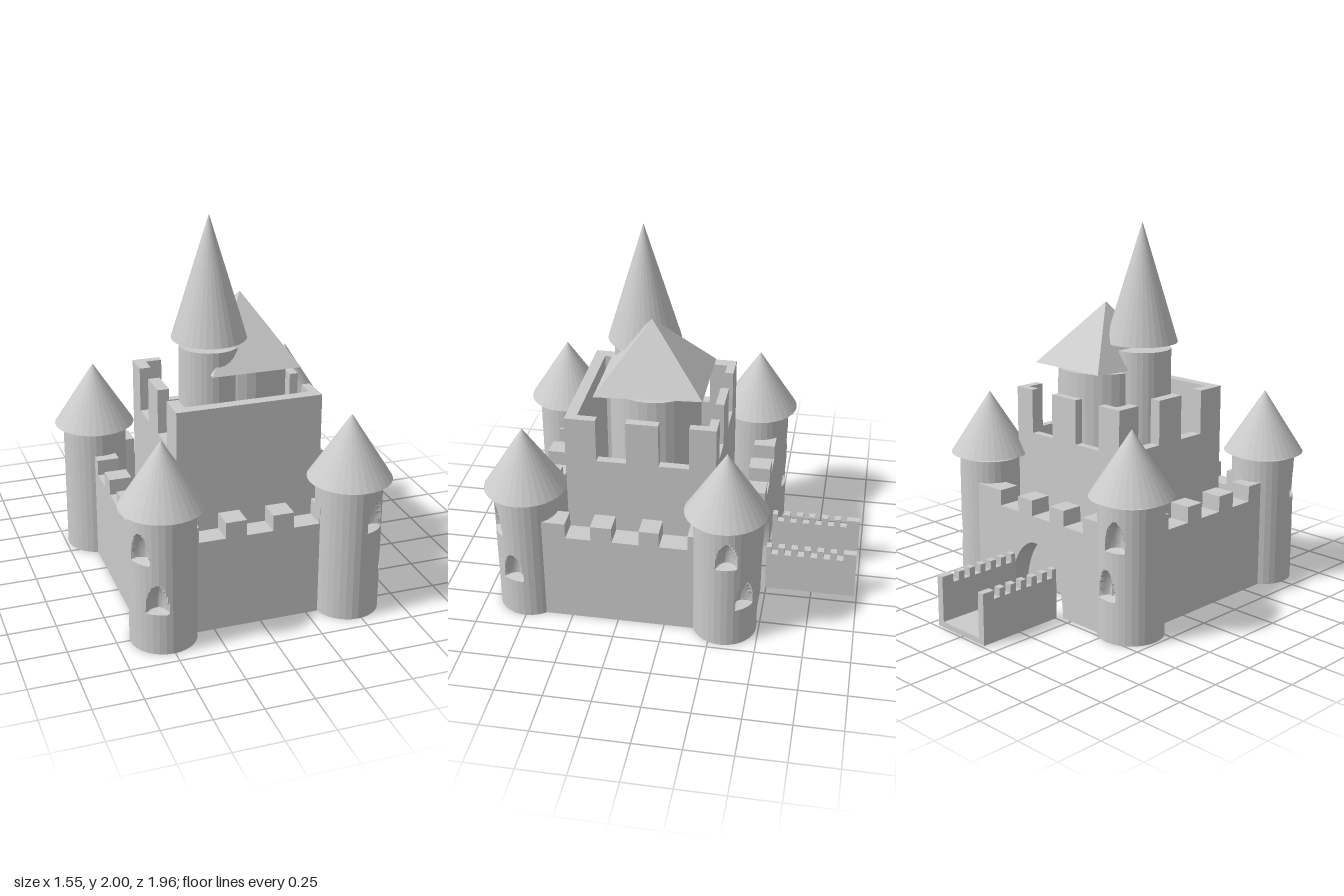
import * as THREE from 'three';

const stone = new THREE.MeshStandardMaterial({ color: 0xcccccc, flatShading: true, side: THREE.DoubleSide });
const SIDES = 32;

function add(group, name, geometry, x = 0, y = 0, z = 0) {
  const mesh = new THREE.Mesh(geometry, stone);
  mesh.name = name;
  mesh.position.set(x, y, z);
  group.add(mesh);
  return mesh;
}

// Upright wall from a to b with notches cut down to "low"; "arch" opens a gateway at the foot
function wallGeometry({ a, b, low, top, gaps = [], thick, arch, alongZ }) {
  const s = new THREE.Shape();
  s.moveTo(a, 0);
  s.lineTo(a, top);
  for (const [g0, g1] of gaps) {
    s.lineTo(g0, top);
    s.lineTo(g0, low);
    s.lineTo(g1, low);
    s.lineTo(g1, top);
  }
  s.lineTo(b, top);
  s.lineTo(b, 0);
  if (arch) {
    s.lineTo(arch.x + arch.rx, 0);
    s.absellipse(arch.x, 0, arch.rx, arch.ry, 0, Math.PI, false);
  }
  s.closePath();
  const g = new THREE.ExtrudeGeometry(s, { depth: thick, bevelEnabled: false, curveSegments: 24 });
  // after turning, the wall runs along z and its thickness goes towards -x
  return alongZ ? g.rotateY(-Math.PI / 2) : g;
}

// Round tower whose wall is pushed in to form arched window niches
function towerGeometry(r, h, windows) {
  const g = new THREE.CylinderGeometry(r, r, h, SIDES * 4, 71).translate(0, h / 2, 0);
  const p = g.attributes.position;
  const step = (2 * Math.PI) / SIDES;
  for (let i = 0; i < p.count; i++) {
    const x = p.getX(i), y = p.getY(i), z = p.getZ(i);
    if (Math.hypot(x, z) < r * 0.9) continue;
    const az = Math.atan2(x, z);
    // flat facets between the corner lines
    const local = az - (Math.floor(az / step + 1e-6) + 0.5) * step;
    let radius = (r * Math.cos(step / 2)) / Math.cos(local);
    for (const [deg, y0] of windows) {
      let d = az - THREE.MathUtils.degToRad(deg);
      d = Math.atan2(Math.sin(d), Math.cos(d));
      const t = (y - y0) / 0.15;
      const inside = 1 - (r * Math.sin(d) / 0.056) ** 2 - t * t;
      if (t > -0.01 && inside > 0 && Math.cos(d) > 0) radius -= 0.06 * Math.sqrt(inside);
    }
    p.setXYZ(i, radius * Math.sin(az), y, radius * Math.cos(az));
  }
  return g;
}

function cone(r, h) {
  return new THREE.ConeGeometry(r, h, SIDES).translate(0, h / 2, 0);
}

export function createModel() {
  const castle = new THREE.Group();
  castle.name = 'castle';

  // Corner towers: x, z, windows as [direction in degrees, sill height]
  const towers = [
    ['frontLeftTower', 0.48, 0.755, [[32, 0.485], [72, 0.225]]],
    ['frontRightTower', -0.51, 0.76, [[-58, 0.485], [-26, 0.225]]],
    ['backLeftTower', 0.55, -0.317, [[99, 0.485], [135, 0.225]]],
    ['backRightTower', -0.565, -0.353, [[-166, 0.485], [176, 0.225]]],
  ];
  for (const [name, x, z, windows] of towers) {
    const tower = new THREE.Group();
    tower.name = name;
    tower.position.set(x, 0, z);
    add(tower, 'towerBody', towerGeometry(0.171, 0.71, windows));
    add(tower, 'towerRoof', cone(0.217, 0.34), 0, 0.73, 0);
    castle.add(tower);
  }

  // Outer walls
  const gate = { x: 0.015, rx: 0.205, ry: 0.36, z: -0.41, rz: 0.2 };
  const outer = { low: 0.505, top: 0.59, thick: 0.118 };
  add(castle, 'frontWall', wallGeometry({
    ...outer, a: -0.5, b: 0.48, gaps: [[-0.33, -0.19], [-0.08, 0.06], [0.17, 0.31]],
  }), 0, 0, 0.668);
  add(castle, 'backWall', wallGeometry({
    ...outer, a: -0.55, b: 0.54, gaps: [[-0.34, -0.2], [-0.095, 0.04], [0.15, 0.29]], arch: gate,
  }), 0, 0, -0.472);
  for (const x of [0.61, -0.49]) {
    add(castle, 'sideWall', wallGeometry({
      ...outer, a: -0.33, b: 0.74, gaps: [[-0.125, 0.024], [0.13, 0.273], [0.385, 0.52]], alongZ: true,
    }), x, 0, 0);
  }

  // Keep: plain front, deep notches on the other sides
  const keep = new THREE.Group();
  keep.name = 'keep';
  castle.add(keep);
  const high = { low: 0.865, top: 1.105 };
  add(keep, 'keepFront', wallGeometry({ ...high, a: -0.368, b: 0.405, thick: 0.06 }), 0, 0, 0.492);
  add(keep, 'keepBack', wallGeometry({
    ...high, a: -0.368, b: 0.405, thick: 0.045, gaps: [[-0.22, -0.05], [0.13, 0.285]],
  }), 0, 0, -0.24);
  for (const [x, thick] of [[0.405, 0.046], [-0.306, 0.062]]) {
    add(keep, 'keepSide', wallGeometry({
      ...high, a: -0.195, b: 0.492, thick, gaps: [[-0.1, 0.06], [0.23, 0.388]], alongZ: true,
    }), x, 0, 0);
  }

  // Tall round tower with its pointed roof
  add(keep, 'tallTower', towerGeometry(0.158, 1.325, []), -0.087, 0, 0.222);
  add(keep, 'tallRoof', cone(0.195, 0.64), -0.087, 1.36, 0.218);

  // Wide drum under a slightly tilted four-sided roof
  add(keep, 'drum', new THREE.CylinderGeometry(0.24, 0.24, 0.7, SIDES), 0.117, 0.86, 0.125);
  const pyramid = new THREE.ConeGeometry(Math.SQRT1_2, 0.34, 4).rotateY(Math.PI / 4)
    .translate(0, 0.17, 0).scale(0.477, 1, 0.568);
  add(keep, 'pyramidRoof', pyramid, 0.107, 1.222, 0.126).rotation.x = 0.044;

  // Bridge at the gate: two notched parapets and a floor hollowed towards the arch
  const bridge = new THREE.Group();
  bridge.name = 'bridge';
  castle.add(bridge);
  const notches = [];
  for (let k = 5; k >= 0; k--) {
    const c = -0.541 - 0.071 * k;
    notches.push([c - 0.018, c + 0.018]);
  }
  for (const x of [0.195, -0.125]) {
    add(bridge, 'parapet', wallGeometry({
      a: -0.985, b: -0.495, low: 0.23, top: 0.275, thick: 0.04, gaps: notches, alongZ: true,
    }), x, 0, 0);
  }
  const floor = new THREE.Shape();
  const half = 0.142;
  floor.moveTo(gate.x - half, 0.985);
  floor.lineTo(gate.x + half, 0.985);
  for (let i = 0; i <= 16; i++) {
    const dx = half * (1 - i / 8);
    floor.lineTo(gate.x + dx, -gate.z + gate.rz * Math.sqrt(1 - (dx / gate.rx) ** 2) - 0.03 * (dx / half) ** 2);
  }
  floor.closePath();
  const floorGeometry = new THREE.ExtrudeGeometry(floor, { depth: 0.03, bevelEnabled: false })
    .rotateX(-Math.PI / 2);
  add(bridge, 'bridgeFloor', floorGeometry);

  return castle;
}
